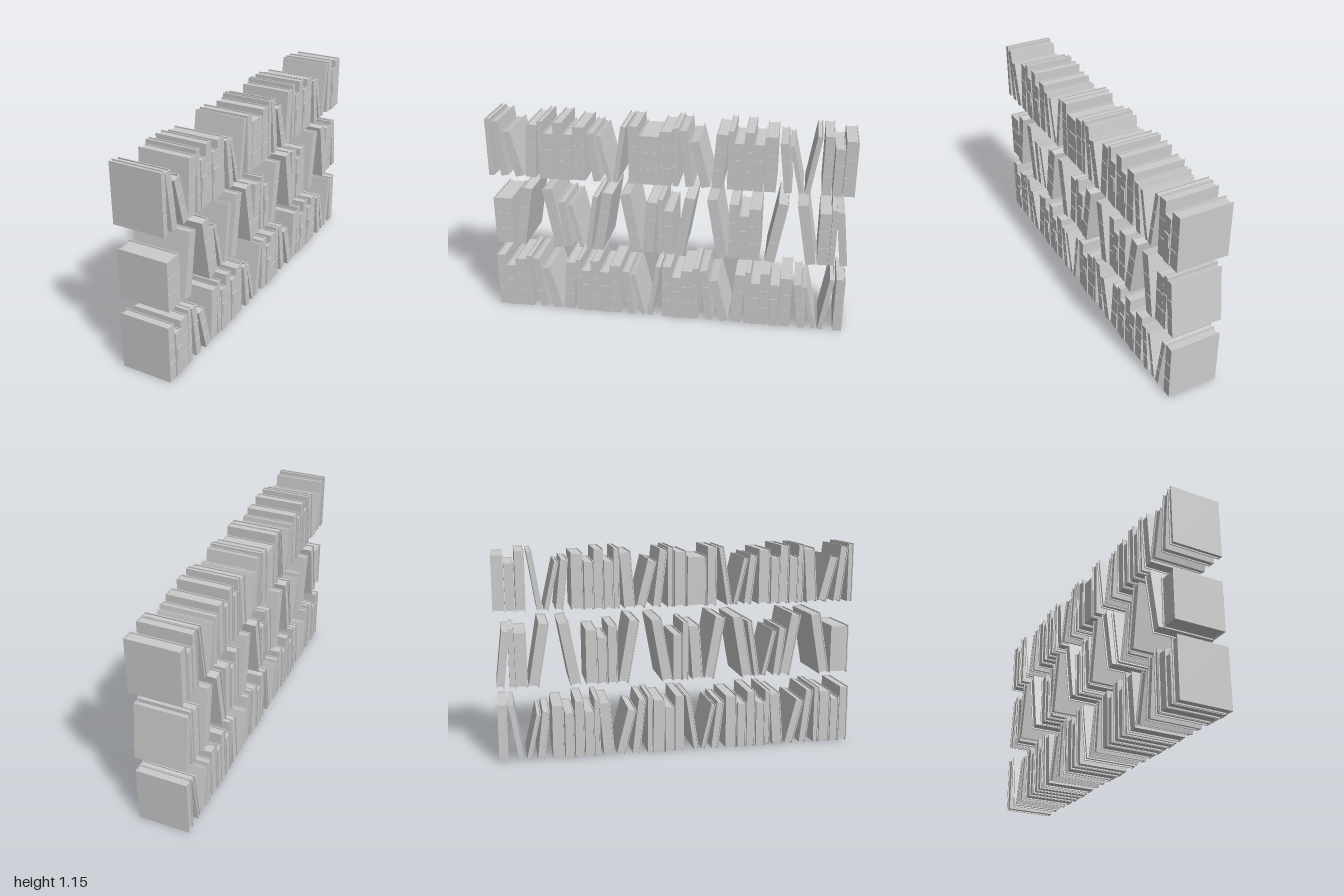
import * as THREE from 'three';

const material = new THREE.MeshStandardMaterial({ color: 0xcccccc, flatShading: true });

// Book kinds: thickness, height, lean towards +z (radians), fore edge x, spine x
const KINDS = {
  A: [0.05, 0.325, 0, -0.145, 0.14],
  B: [0.05, 0.262, 0, -0.15, 0.145],
  C: [0.063, 0.305, 0, -0.145, 0.14],
  D: [0.03, 0.327, 0, -0.145, 0.14],
  E: [0.042, 0.315, 0.12, -0.145, 0.14],
  F: [0.048, 0.262, 0.25, -0.15, 0.145],
  G: [0.06, 0.305, -0.075, -0.145, 0.14],
  M: [0.04, 0.275, 0.12, -0.15, 0.145],
  N: [0.024, 0.265, 0.23, -0.145, 0.14],
  O: [0.028, 0.323, -0.155, -0.147, 0.142],
  P: [0.105, 0.275, 0, -0.145, 0.14],
  U: [0.056, 0.353, -0.175, -0.16, 0.155],
  V: [0.056, 0.353, 0.175, -0.16, 0.155],
};

function slab(parent, name, x0, x1, y0, y1, z0, z1) {
  const mesh = new THREE.Mesh(new THREE.BoxGeometry(x1 - x0, y1 - y0, z1 - z0), material);
  mesh.name = name;
  mesh.position.set((x0 + x1) / 2, (y0 + y1) / 2, (z0 + z1) / 2);
  parent.add(mesh);
}

// Book standing on its lower edge, spine towards +x
function makeBook(kind, z, baseY) {
  const [t, h, lean, back, spine] = KINDS[kind];
  const book = new THREE.Group();
  book.name = 'book';
  const c = 0.005, inset = 0.007, half = t / 2;
  slab(book, 'coverFront', back, spine - c, 0, h, half - c, half);
  slab(book, 'coverBack', back, spine - c, 0, h, -half, -half + c);
  slab(book, 'spine', spine - c, spine, 0, h, -half, half);
  slab(book, 'pages', back + inset, spine - c, inset, h - inset, -half + c, half - c);

  // Raised spine label on the short books, thin ribs on the others
  if (kind === 'B') {
    slab(book, 'spineLabel', spine, spine + 0.006, h * 0.37, h * 0.66, -half + 0.004, half - 0.004);
  } else {
    for (const f of [0.33, 0.66]) {
      slab(book, 'spineRib', spine, spine + 0.003, h * f - 0.002, h * f + 0.002, -half, half);
    }
  }
  // Lift a leaning book so its lower corner touches the shelf line
  book.position.set(0, baseY + Math.abs(Math.sin(lean)) * half, z);
  book.rotation.x = lean;
  return book;
}

// Each row: base height, then runs of [kinds, positions, z offsets at which the run repeats]
const ROWS = [
  ['bottomRow', 0.005, [
    ['ABCDEFGDBABCMNO', [0.976, 0.92, 0.861, 0.81, 0.729, 0.643, 0.579, 0.515, 0.472, 0.418,
      0.362, 0.3, 0.204, 0.137, 0.099], [0, -0.975]],
    ['A', [-0.972], [0]],
  ]],
  ['middleRow', 0.415, [
    ['PUVMNOUVGDB', [0.936, 0.842, 0.606, 0.56, 0.485, 0.448, 0.386, 0.166, 0.105, 0.035, -0.011], [0]],
    ['UVABCUVCDE', [-0.07, -0.314, -0.37, -0.426, -0.485, -0.574, -0.799, -0.863, -0.911, -0.976], [0]],
  ]],
  ['topRow', 0.828, [
    ['DEFGDBABCMNO', [0.985, 0.909, 0.82, 0.761, 0.692, 0.649, 0.595, 0.542, 0.48, 0.383,
      0.314, 0.282], [0, -1.035]],
    ['APCABC', [0.182, 0.097, 0.005, -0.853, -0.909, -0.968], [0]],
  ]],
];

export function createModel() {
  const model = new THREE.Group();
  model.name = 'bookRows';
  for (const [name, baseY, runs] of ROWS) {
    const row = new THREE.Group();
    row.name = name;
    for (const [kinds, positions, offsets] of runs) {
      for (const offset of offsets) {
        positions.forEach((z, i) => row.add(makeBook(kinds[i], z + offset, baseY)));
      }
    }
    model.add(row);
  }
  return model;
}
